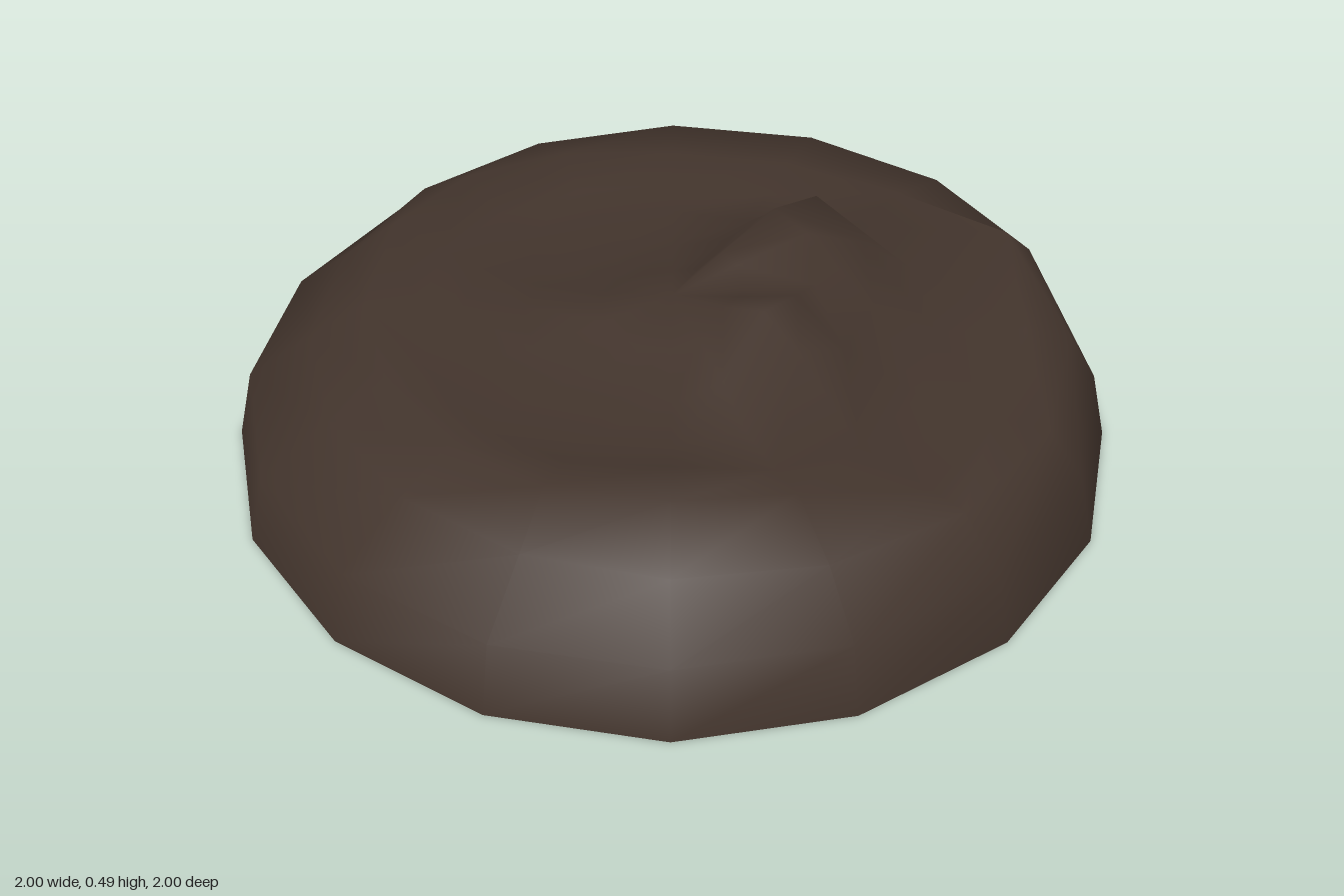
import * as THREE from 'three';

const SIDES = 16; // angle 0 is +x, a quarter turn is +z
const CENTRE = 0.39;

// Swelling rim, folded over on the front left
const rimRadius = [0.78, 0.85, 0.8, 0.76, 0.77, 0.68, 0.72, 0.68, 0.66, 0.67, 0.69, 0.69, 0.69, 0.69, 0.7, 0.74];
const rimHeight = [0.3, 0.34, 0.3, 0.275, 0.28, 0.34, 0.395, 0.36, 0.34, 0.35, 0.365, 0.41, 0.39, 0.36, 0.32, 0.3];
// Trough at the back, skirt of the lumps at the front
const skirtHeight = [0.435, 0.41, 0.36, 0.36, 0.44, 0.31, 0.32, 0.33, 0.335, 0.34, 0.345, 0.335, 0.32, 0.31, 0.3, 0.295];
// Two central peaks
const peakHeight = [0.468, 0.472, 0.42, 0.47, 0.49, 0.36, 0.33, 0.32, 0.325, 0.335, 0.355, 0.325, 0.31, 0.3, 0.3, 0.33];

// One radial section as [radius, height], from the open base inward
function section(i, angle) {
  const side = Math.cos(angle);
  const front = Math.max(0, Math.sin(angle)) ** 4;
  return [
    [1, 0],
    [0.965, 0.165],
    [0.86 + 0.06 * side, 0.275],
    [rimRadius[i], rimHeight[i]],
    [0.57 + 0.04 * Math.max(0, side), 0.285 + (rimHeight[i] - 0.285) * (0.5 - 0.3 * side)],
    [0.475 - 0.09 * front, skirtHeight[i]],
    [0.33 - 0.05 * front, peakHeight[i]],
    [0.16, (peakHeight[i] + CENTRE) / 2],
    [0, CENTRE],
  ];
}

function moundGeometry() {
  const positions = [];
  const indices = [];
  const rows = section(0, 0).length;
  for (let i = 0; i < SIDES; i++) {
    const angle = (i / SIDES) * Math.PI * 2;
    section(i, angle).forEach(([r, y], k) => {
      positions.push(Math.cos(angle) * r, y, Math.sin(angle) * r);
      if (k === rows - 1) return;
      const a = i * rows + k;
      const b = ((i + 1) % SIDES) * rows + k;
      // The last band closes on the centre point
      if (k === rows - 2) indices.push(a, rows - 1, b);
      else indices.push(a, a + 1, b, b, a + 1, b + 1);
    });
  }
  const geometry = new THREE.BufferGeometry();
  geometry.setAttribute('position', new THREE.Float32BufferAttribute(positions, 3));
  geometry.setIndex(indices);
  geometry.computeVertexNormals();
  return geometry;
}

export function createModel() {
  const darkBrown = new THREE.MeshStandardMaterial({ color: 0x42342c, side: THREE.DoubleSide });
  darkBrown.name = 'darkBrown';

  // Hollow lumpy shell, open underneath
  const mound = new THREE.Mesh(moundGeometry(), darkBrown);
  mound.name = 'mound';

  const group = new THREE.Group();
  group.name = 'lumpyMound';
  group.add(mound);
  return group;
}
